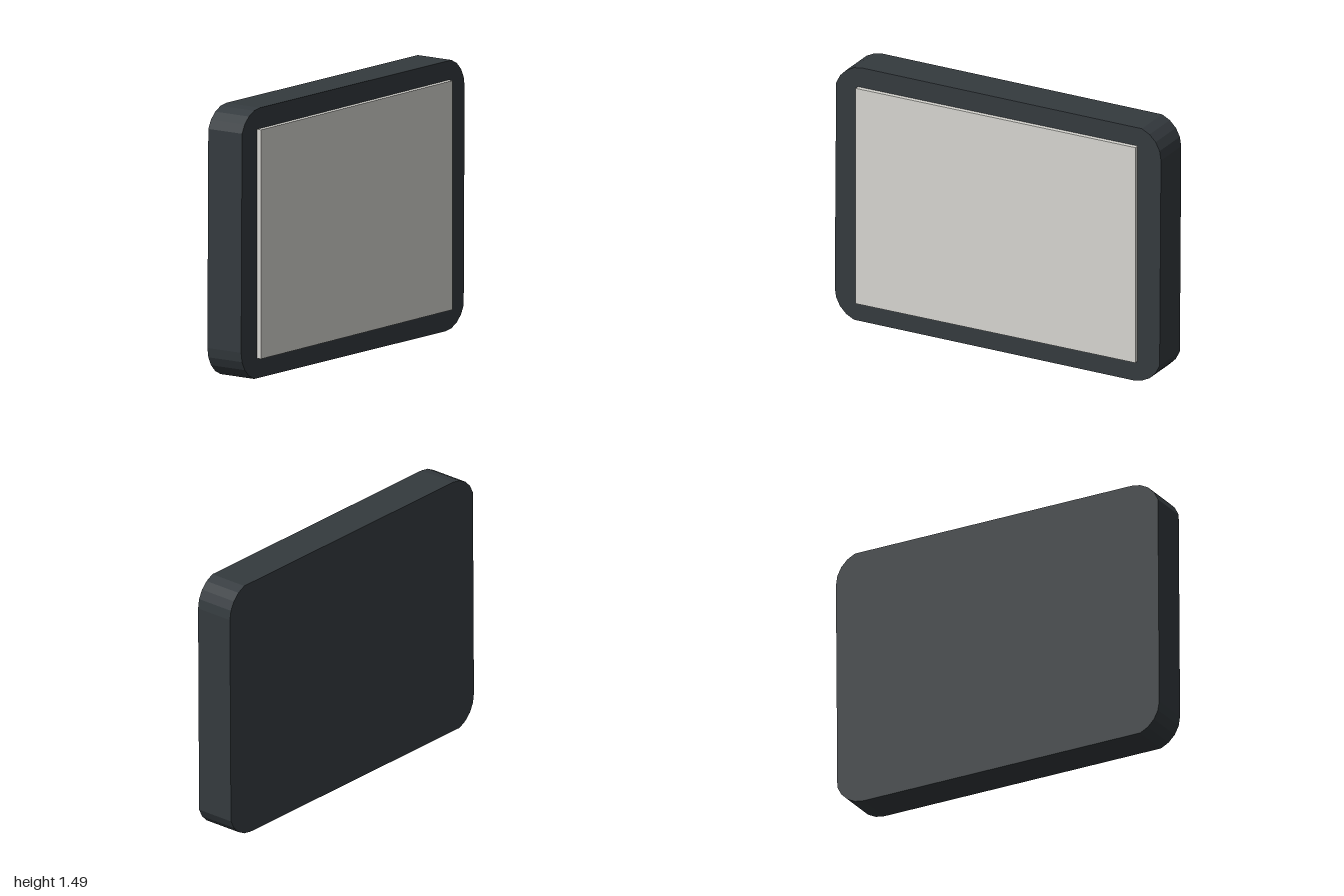
import * as THREE from 'three';

const WIDTH = 2, HEIGHT = 1.487, RADIUS = 0.17, STEPS = 5;
const BACK = -0.127, FRONT = 0.1, SCREEN_FRONT = 0.127;

// Rounded outline; each corner stops one step short of its quarter turn
function housingOutline() {
  const cx = WIDTH / 2 - RADIUS, cy = HEIGHT / 2 - RADIUS;
  const corners = [[cx, cy], [-cx, cy], [-cx, -cy], [cx, -cy]];
  const points = [];
  corners.forEach(([x, y], corner) => {
    for (let i = 0; i < STEPS; i++) {
      const a = (corner + i / STEPS) * Math.PI / 2;
      points.push(new THREE.Vector2(x + RADIUS * Math.cos(a), y + RADIUS * Math.sin(a)));
    }
  });
  return new THREE.Shape(points);
}

export function createModel() {
  const model = new THREE.Group();
  model.name = 'wallDisplay';

  // Dark slab with faceted rounded corners
  const housing = new THREE.Mesh(
    new THREE.ExtrudeGeometry(housingOutline(), { depth: FRONT - BACK, bevelEnabled: false }),
    new THREE.MeshStandardMaterial({ color: 0x343a3e, flatShading: true })
  );
  housing.name = 'housing';
  housing.position.set(0, HEIGHT / 2, BACK);
  model.add(housing);

  // Pale raised panel, seated slightly into the housing
  const depth = 0.05;
  const screen = new THREE.Mesh(
    new THREE.BoxGeometry(1.715, 1.256, depth),
    new THREE.MeshStandardMaterial({ color: 0xd6d5d0 })
  );
  screen.name = 'screen';
  screen.position.set(0, 0.745, SCREEN_FRONT - depth / 2);
  model.add(screen);

  return model;
}
